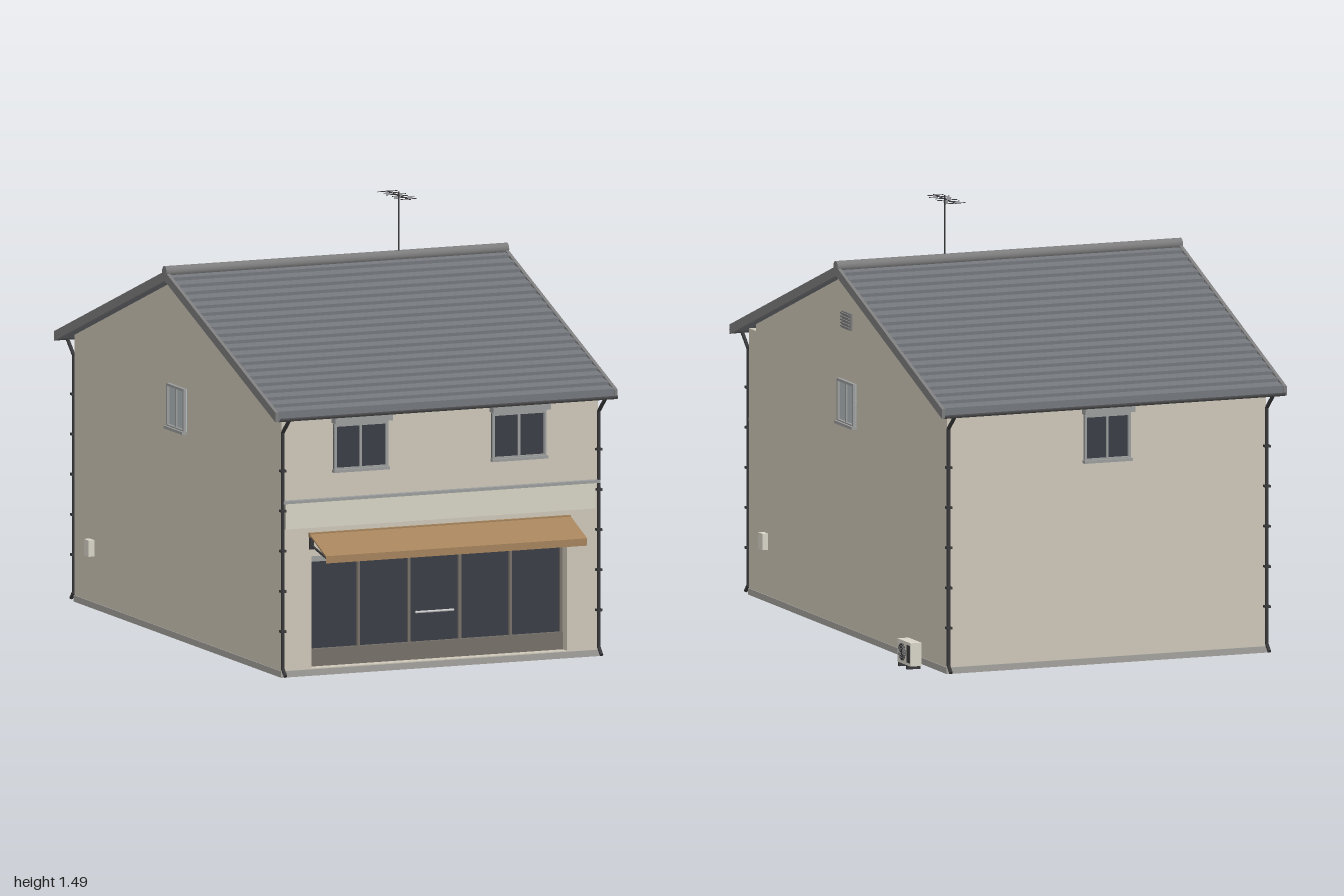
import * as THREE from 'three';

const mat = (color, extra = {}) => Object.assign(new THREE.MeshStandardMaterial({ side: extra.side ?? THREE.FrontSide }), { color: new THREE.Color(color) });
const M = {
  wall: mat(0xcdc7b8), base: mat(0xa3a29d), roof: mat(0x74777d), verge: mat(0x7d7d7d),
  frame: mat(0x9c9d9d), glass: mat(0x3a3f46), paleGlass: mat(0xb2bcc0), sign: mat(0xd6d4c4),
  awning: mat(0xa5835c, { side: THREE.DoubleSide }), shop: mat(0x77706a), dark: mat(0x3a3a3c),
  gutter: mat(0x58585a, { side: THREE.DoubleSide }), pale: mat(0xd8d4c8), metal: mat(0xcccccc),
};
// House limits: centre lines, wall faces and roof pitch
const CX = -0.02, CZ = -0.035, X0 = -0.605, X1 = 0.565, ZF = 0.85, ZB = -0.92;
const SLOPE = 0.365, RUN = 0.945, UNDER = 1.24;
const under = (d) => UNDER - SLOPE * d;

function add(parent, name, geometry, material) {
  const m = new THREE.Mesh(geometry, material);
  m.name = name;
  parent.add(m);
  return m;
}
// Box given by its limits
function box(parent, name, material, x0, x1, y0, y1, z0, z1) {
  const g = new THREE.BoxGeometry(x1 - x0, y1 - y0, z1 - z0);
  return add(parent, name, g.translate((x0 + x1) / 2, (y0 + y1) / 2, (z0 + z1) / 2), material);
}
// Round bar between two points
function rod(parent, name, material, a, b, r, sides = 8) {
  const p = new THREE.Vector3(...a), q = new THREE.Vector3(...b), d = q.clone().sub(p);
  const m = add(parent, name, new THREE.CylinderGeometry(r, r, d.length(), sides), material);
  m.position.copy(p).add(q).multiplyScalar(0.5);
  m.quaternion.setFromUnitVectors(new THREE.Vector3(0, 1, 0), d.normalize());
  return m;
}
// Side profile of [z, y] points, extruded along x
function prism(parent, name, material, pts, x0, x1) {
  const s = new THREE.Shape(pts.map(([z, y]) => new THREE.Vector2(-z, y)));
  const g = new THREE.ExtrudeGeometry(s, { depth: x1 - x0, bevelEnabled: false });
  return add(parent, name, g.rotateY(Math.PI / 2).translate(x0, 0, 0), material);
}
function group(parent, name) {
  const g = new THREE.Group();
  g.name = name;
  parent.add(g);
  return g;
}

// Two-pane sliding window facing +z, centred on its origin
function makeWindow(parent, name, w, h, glass, hood) {
  const g = group(parent, name), a = w / 2, b = h / 2, t = 0.009;
  box(g, 'glass', glass, -a, a, -b, b, -0.005, 0.003);
  for (const s of [-1, 1]) {
    box(g, 'frameSide', M.frame, s * (a - t / 2) - t / 2, s * (a - t / 2) + t / 2, -b, b, 0, 0.012);
    box(g, 'frameRail', M.frame, -a, a, s * (b - t / 2) - t / 2, s * (b - t / 2) + t / 2, 0, 0.012);
  }
  box(g, 'middleStile', M.frame, -0.004, 0.004, -b, b, 0, 0.009);
  box(g, 'sill', M.frame, -a - 0.003, a + 0.003, -b - 0.006, -b + 0.004, 0, 0.02);
  if (hood) box(g, 'hood', M.frame, -a - 0.006, a + 0.006, b + 0.004, b + 0.03, 0, 0.035);
  return g;
}

function buildWalls(root) {
  const g = group(root, 'walls'), zr = ZF - 0.06;
  const dF = zr - CZ, dB = CZ - ZB;
  prism(g, 'body', M.wall, [[zr, 0], [zr, under(dF)], [CZ, UNDER], [ZB, under(dB)], [ZB, 0]], X0, X1);
  // Front wall with the shop opening cut out
  const s = new THREE.Shape([[X0, 0], [X1, 0], [X1, 0.916], [X0, 0.916]].map((p) => new THREE.Vector2(...p)));
  s.holes.push(new THREE.Path([[-0.495, 0.025], [-0.495, 0.41], [0.45, 0.41], [0.45, 0.025]].map((p) => new THREE.Vector2(...p))));
  add(g, 'frontWall', new THREE.ExtrudeGeometry(s, { depth: 0.06, bevelEnabled: false }).translate(0, 0, zr), M.wall);
  // Plinth strips
  box(g, 'plinthFront', M.base, X0 - 0.003, X1 + 0.003, 0, 0.022, ZF - 0.02, ZF + 0.004);
  box(g, 'plinthBack', M.base, X0 - 0.003, X1 + 0.003, 0, 0.022, ZB - 0.004, ZB + 0.02);
  for (const x of [X0, X1]) box(g, 'plinthSide', M.base, x - 0.003, x + 0.003, 0, 0.022, ZB, ZF);
}

function buildRoof(root) {
  const g = group(root, 'roof'), n = 20, step = RUN / n;
  // Stepped tile courses, eave to ridge on the front, mirrored on the back
  const half = [[RUN, under(RUN)]];
  for (let i = 0; i < n; i++) {
    const d = RUN - i * step, e = d - step;
    half.push([d, under(d) + 0.03], [e, under(e) + 0.019]);
  }
  const back = half.slice(0, -1).reverse().map(([d, y]) => [CZ - d, y]);
  prism(g, 'tiles', M.roof, [...half.map(([d, y]) => [CZ + d, y]), ...back, [CZ, UNDER]], -0.645, 0.6);
  // Barge boards on the gable ends
  const R = RUN + 0.003, top = 0.029;
  const board = [[CZ + R, under(R) - 0.004], [CZ + R, under(R) + top], [CZ, UNDER + top],
    [CZ - R, under(R) + top], [CZ - R, under(R) - 0.004], [CZ, UNDER - 0.004]];
  prism(g, 'bargeBoard', M.verge, board, -0.655, -0.643);
  prism(g, 'bargeBoard', M.verge, board, 0.598, 0.61);
  rod(g, 'ridgeCap', M.verge, [-0.656, 1.268, CZ], [0.611, 1.268, CZ], 0.019, 12);
  for (const s of [-1, 1]) {
    const z = CZ + s * 0.951;
    const geo = new THREE.CylinderGeometry(0.014, 0.014, 1.25, 10, 1, true, Math.PI, Math.PI);
    add(g, 'gutter', geo.rotateZ(Math.PI / 2), M.gutter).position.set(CX, 0.904, z);
    // Downpipes with wall clips
    for (const x of [X0 + 0.001, X1 - 0.001]) {
      const p = group(g, 'downpipe'), w = (s > 0 ? ZF : ZB) + s * 0.01;
      const path = [[x, 0.895, z], [x, 0.845, w], [x, 0.03, w], [x, 0.008, w + s * 0.022]];
      for (let i = 0; i < 3; i++) rod(p, 'pipe', M.dark, path[i], path[i + 1], 0.0065);
      for (let y = 0.16; y < 0.85; y += 0.138) box(p, 'clip', M.dark, x - 0.01, x + 0.01, y - 0.004, y + 0.004, w - 0.011, w + 0.009);
    }
  }
}

function buildShopfront(root) {
  const g = group(root, 'shopfront'), z = ZF - 0.06;
  box(g, 'glass', M.glass, -0.49, 0.445, 0.085, 0.385, z, z + 0.012);
  box(g, 'kickPanel', M.shop, -0.495, 0.45, 0.025, 0.085, z, z + 0.025);
  box(g, 'lintel', M.frame, -0.495, 0.45, 0.385, 0.41, z, z + 0.025);
  for (let i = 0; i <= 5; i++) {
    const x = -0.491 + i * 0.1874;
    box(g, 'post', M.shop, x - 0.005, x + 0.005, 0.085, 0.385, z, z + 0.022);
  }
  rod(g, 'doorHandle', M.metal, [-0.095, 0.187, z + 0.025], [0.047, 0.187, z + 0.025], 0.004);
  for (const x of [-0.085, 0.037]) rod(g, 'handleStem', M.metal, [x, 0.187, z], [x, 0.187, z + 0.025], 0.003);
  // Blank sign board with a ledge above
  box(g, 'signBoard', M.sign, -0.595, 0.55, 0.51, 0.598, ZF, ZF + 0.014);
  box(g, 'ledge', M.frame, X0, X1, 0.598, 0.608, ZF, ZF + 0.02);

  // Sloping awning with short valance and side arms
  const a = group(root, 'awning');
  prism(a, 'canopy', M.awning, [[ZF, 0.487], [ZF, 0.492], [1, 0.433], [1, 0.408], [0.997, 0.408], [0.997, 0.428]], -0.505, 0.46);
  box(a, 'wallRail', M.awning, -0.505, 0.46, 0.477, 0.492, ZF, ZF + 0.012);
  for (const x of [-0.497, 0.452]) {
    rod(a, 'arm', M.dark, [x, 0.45, ZF], [x, 0.422, 0.995], 0.004);
    box(a, 'armBracket', M.dark, x - 0.006, x + 0.006, 0.435, 0.485, ZF, ZF + 0.012);
  }
}

function buildWindows(root) {
  for (const x of [-0.315, 0.27]) makeWindow(root, 'frontWindow', 0.2, 0.16, M.glass, true).position.set(x, 0.78, ZF);
  const b = makeWindow(root, 'backWindow', 0.17, 0.16, M.glass, true);
  b.position.set(CX, 0.78, ZB);
  b.rotation.y = Math.PI;
  for (const s of [-1, 1]) {
    const w = makeWindow(root, 'sideWindow', 0.15, 0.15, M.paleGlass, false);
    w.position.set(s > 0 ? X1 : X0, 0.797, CZ);
    w.rotation.y = s * Math.PI / 2;
  }
}

function buildFittings(root) {
  // Gable vent with slats
  const v = group(root, 'gableVent');
  box(v, 'plate', M.verge, X1, X1 + 0.008, 1.05, 1.108, CZ - 0.04, CZ + 0.04);
  for (let i = 0; i < 5; i++) box(v, 'slat', M.verge, X1, X1 + 0.014, 1.055 + i * 0.011, 1.06 + i * 0.011, CZ - 0.037, CZ + 0.037);
  // Meter boxes
  box(root, 'meterBox', M.pale, X1, X1 + 0.02, 0.18, 0.236, 0.68, 0.72);
  box(root, 'meterBox', M.pale, X0 - 0.022, X0, 0.18, 0.236, -0.79, -0.75);
  // Outdoor air conditioner, fan facing +x
  const a = group(root, 'airConditioner');
  box(a, 'case', M.pale, 0.61, 0.65, 0.012, 0.092, -0.8, -0.685);
  for (const z of [-0.78, -0.705]) box(a, 'foot', M.dark, 0.608, 0.655, 0, 0.012, z - 0.006, z + 0.006);
  rod(a, 'fan', M.dark, [0.649, 0.052, -0.725], [0.652, 0.052, -0.725], 0.03, 24);
  for (const r of [0.012, 0.021, 0.029]) {
    const ring = add(a, 'fanGuard', new THREE.TorusGeometry(r, 0.001, 5, 24).rotateY(Math.PI / 2), M.frame);
    ring.position.set(0.653, 0.052, -0.725);
  }
  box(a, 'grille', M.dark, 0.649, 0.652, 0.022, 0.082, -0.795, -0.77);
  // Roof antenna
  const t = group(root, 'antenna'), x = 0.21, y = 1.475;
  rod(t, 'mast', M.dark, [x, 1.265, CZ], [x, 1.488, CZ], 0.003);
  rod(t, 'boom', M.dark, [x, y, CZ - 0.102], [x, y, CZ + 0.102], 0.002);
  for (let i = 0; i < 6; i++) {
    const z = CZ - 0.095 + i * 0.036, w = 0.037 - (i % 2) * 0.008;
    rod(t, 'element', M.dark, [x - w, y, z], [x + w, y, z], 0.0015, 6);
  }
}

export function createModel() {
  const root = new THREE.Group();
  root.name = 'shopHouse';
  for (const build of [buildWalls, buildRoof, buildShopfront, buildWindows, buildFittings]) build(root);
  return root;
}
